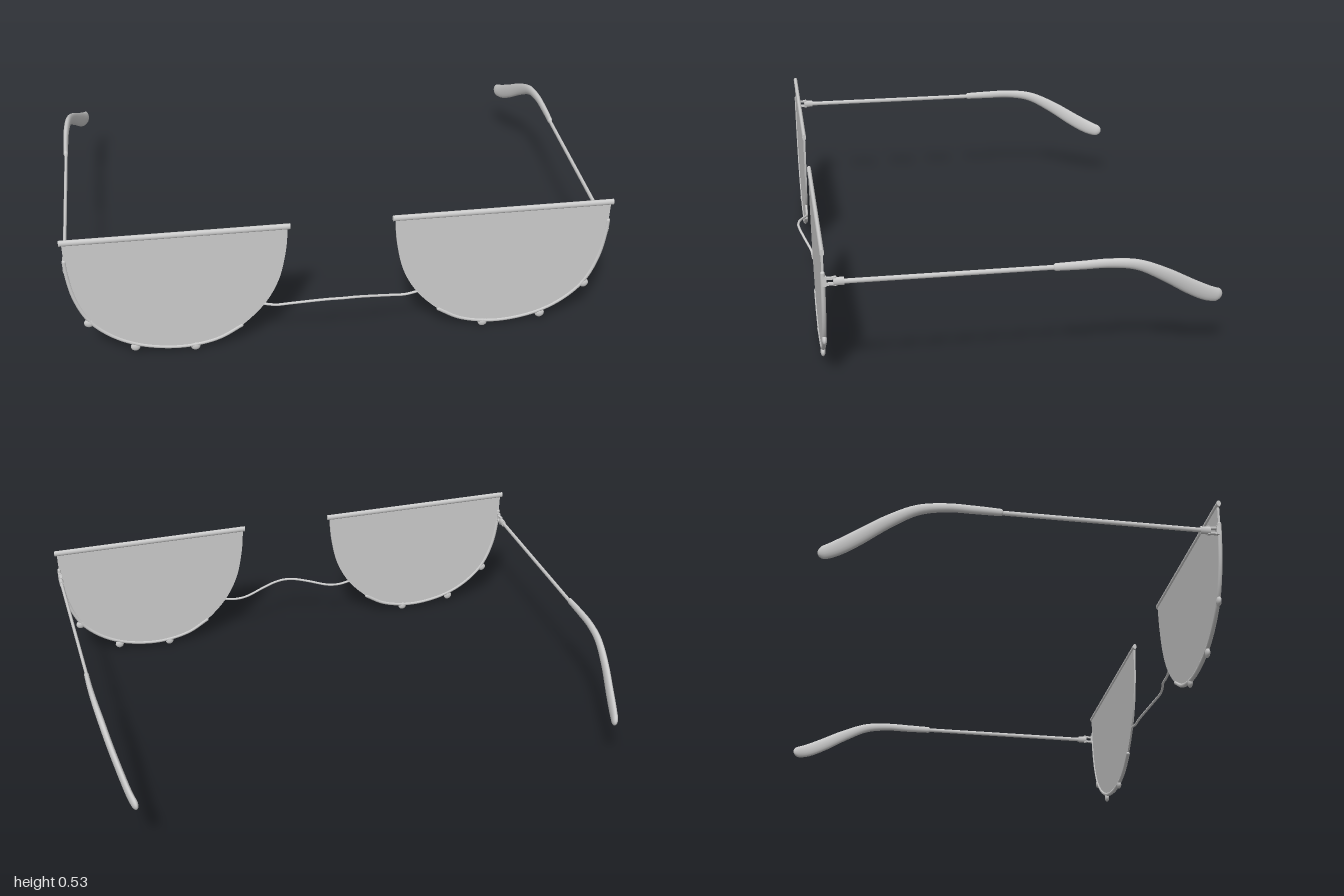
import * as THREE from 'three';

const V = (x, y, z) => new THREE.Vector3(x, y, z);
const FRONT_Z = 0.681;

export function createModel() {
  const group = new THREE.Group();
  const mat = new THREE.MeshStandardMaterial({ color: 0xcccccc });
  const add = (parent, name, geo, x = 0, y = 0, z = 0) => {
    const mesh = new THREE.Mesh(geo, mat);
    mesh.name = name;
    mesh.position.set(x, y, z);
    parent.add(mesh);
    return mesh;
  };
  const wire = (pts, r, segs = 40) =>
    new THREE.TubeGeometry(new THREE.CatmullRomCurve3(pts), segs, r, 10);

  // Lens outline, from the inner top corner round the bottom to the outer top corner
  const outline = [
    [0.194, 0.515], [0.203, 0.41], [0.23, 0.29], [0.285, 0.185], [0.37, 0.097], [0.45, 0.05],
    [0.55, 0.026], [0.65, 0.027], [0.76, 0.053], [0.85, 0.103], [0.92, 0.175], [0.965, 0.28],
    [0.985, 0.4], [0.99, 0.515],
  ];

  // Oval rings swept along a path; each section is [x, y, z, half width, half height]
  const loft = (sections, sides = 16, steps = 60) => {
    const curve = pts => new THREE.CatmullRomCurve3(pts, false, 'catmullrom', 0.5);
    const path = curve(sections.map(s => V(s[0], s[1], s[2])));
    const size = curve(sections.map(s => V(s[3], s[4], 0)));
    const pos = [], idx = [];
    for (let i = 0; i <= steps; i++) {
      // Rings crowd towards both ends so the rounding stays smooth
      const t = (1 - Math.cos((i / steps) * Math.PI)) / 2;
      const c = path.getPoint(t), s = size.getPoint(t), dir = path.getTangent(t);
      const up = V(1, 0, 0).cross(dir).normalize();
      const side = dir.clone().cross(up).normalize();
      const k = Math.sqrt(Math.max(0, 1 - Math.max(0, 1 - t / 0.015, 1 - (1 - t) / 0.06) ** 2));
      for (let j = 0; j < sides; j++) {
        const a = (j / sides) * Math.PI * 2;
        const p = c.clone()
          .addScaledVector(side, Math.cos(a) * s.x * k)
          .addScaledVector(up, Math.sin(a) * s.y * k);
        pos.push(p.x, p.y, p.z);
        if (i < steps) {
          const n = (j + 1) % sides, b = i * sides;
          idx.push(b + j, b + sides + j, b + n, b + n, b + sides + j, b + sides + n);
        }
      }
    }
    const geo = new THREE.BufferGeometry();
    geo.setAttribute('position', new THREE.Float32BufferAttribute(pos, 3));
    geo.setIndex(idx);
    geo.computeVertexNormals();
    return geo;
  };

  const buildSide = () => {
    const side = new THREE.Group();

    // Half-round lens
    const shape = new THREE.Shape();
    shape.moveTo(...outline[0]);
    shape.splineThru(outline.slice(1).map(p => new THREE.Vector2(...p)));
    shape.closePath();
    add(side, 'lens', new THREE.ExtrudeGeometry(shape,
      { depth: 0.008, bevelEnabled: false, curveSegments: 60 }), 0, 0, FRONT_Z - 0.004);

    // Straight brow bar along the top, with flat ends
    const bar = new THREE.CylinderGeometry(0.008, 0.008, 0.815, 16);
    bar.rotateZ(Math.PI / 2);
    bar.scale(1, 1.45, 1);
    add(side, 'browBar', bar, 0.5925, 0.519, FRONT_Z);

    // Wire rim hugging the lower outer edge
    const rim = outline.slice(4, 13).map(([x, y]) => V(x, y, FRONT_Z));
    rim.push(V(0.987, 0.44, FRONT_Z));
    add(side, 'rimWire', wire(rim, 0.008, 70));
    for (const p of [rim[0], rim[rim.length - 1]])
      add(side, 'rimEnd', new THREE.SphereGeometry(0.008, 10, 8), p.x, p.y, p.z);

    // Small decorative beads under the rim
    for (const [x, y] of [[0.542, 0.019], [0.762, 0.038], [0.922, 0.163]])
      add(side, 'rimBead', new THREE.SphereGeometry(0.018, 16, 12), x, y, FRONT_Z)
        .scale.z = 0.5;

    // Hinge: end plate, two knuckles, pin and sleeve
    add(side, 'hingePlate', new THREE.BoxGeometry(0.012, 0.036, 0.014), 0.988, 0.412, 0.676);
    for (const y of [0.4, 0.421])
      add(side, 'hingeKnuckle', new THREE.BoxGeometry(0.011, 0.008, 0.042), 0.986, y, 0.657);
    add(side, 'hingePin', new THREE.CylinderGeometry(0.006, 0.006, 0.034, 12), 0.986, 0.41, 0.641);
    const sleeve = new THREE.CylinderGeometry(0.015, 0.015, 0.036, 14);
    sleeve.rotateX(Math.PI / 2);
    sleeve.scale(0.6, 1, 1);
    add(side, 'hingeSleeve', sleeve, 0.987, 0.409, 0.628);

    // Slim temple arm
    const arm = new THREE.CylinderGeometry(0.009, 0.009, 0.74, 14);
    arm.rotateX(Math.PI / 2);
    arm.scale(0.7, 1, 1);
    add(side, 'templeArm', arm, 0.988, 0.408, 0.26);

    // Curved ear tip
    add(side, 'earTip', loft([
      [0.989, 0.409, -0.098, 0.009, 0.014],
      [0.990, 0.410, -0.2, 0.010, 0.016],
      [0.988, 0.410, -0.3, 0.011, 0.017],
      [0.981, 0.394, -0.4, 0.012, 0.020],
      [0.967, 0.345, -0.5, 0.012, 0.025],
      [0.947, 0.283, -0.6, 0.012, 0.029],
      [0.932, 0.245, -0.67, 0.012, 0.029],
      [0.917, 0.226, -0.727, 0.012, 0.024],
    ]));
    return side;
  };

  const left = buildSide();
  left.name = 'leftSide';
  const right = buildSide();
  right.name = 'rightSide';
  right.scale.x = -1;
  group.add(left, right);

  // Thin bowed bridge wire
  const half = [[0.287, 0.187, 0.682], [0.24, 0.178, 0.683], [0.19, 0.181, 0.685],
    [0.1, 0.202, 0.708], [0.045, 0.213, 0.721]];
  add(group, 'bridge', wire([
    ...half.map(([x, y, z]) => V(-x, y, z)), V(0, 0.216, 0.726),
    ...half.map(([x, y, z]) => V(x, y, z)).reverse(),
  ], 0.005, 60));

  return group;
}
